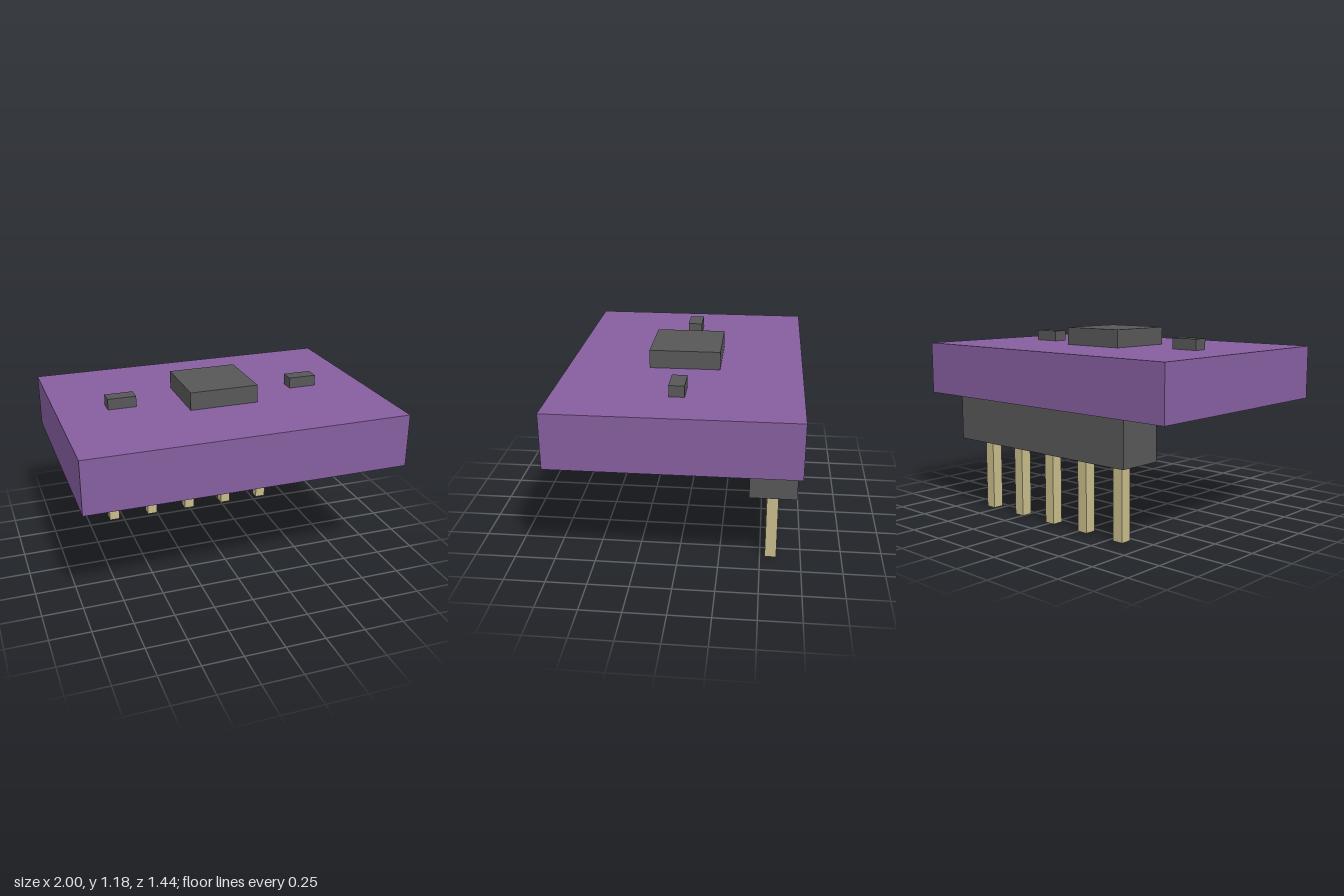
import * as THREE from 'three';

const material = (name, color) => {
  const m = new THREE.MeshStandardMaterial({ color });
  m.name = name;
  return m;
};

export function createModel() {
  const purple = material('purple board', 0x855e9f);
  const grey = material('dark grey plastic', 0x575757);
  const gold = material('pale gold metal', 0xc8bb8a);
  const model = new THREE.Group();
  model.name = 'sensorModule';

  // Box given by its size, its bottom height and its centre in x and z
  const box = (name, mat, [w, h, d], x, bottom, z) => {
    const mesh = new THREE.Mesh(new THREE.BoxGeometry(w, h, d), mat);
    mesh.name = name;
    mesh.position.set(x, bottom + h / 2, z);
    model.add(mesh);
  };

  // Circuit board with the main chip on top
  box('circuitBoard', purple, [2, 0.333, 1.44], 0, 0.74, 0);
  box('mainChip', grey, [0.434, 0.112, 0.434], 0, 1.073, 0);

  // Small components either side of the chip
  for (const side of [-1, 1]) {
    box(side > 0 ? 'leftComponent' : 'rightComponent', grey,
      [0.178, 0.068, 0.092], side * 0.6, 1.073, 0);
  }

  // Pin header under the back edge
  const headerZ = -0.566;
  box('headerBlock', grey, [1.41, 0.278, 0.282], 0, 0.462, headerZ);
  for (let i = -2; i <= 2; i++) {
    box(`headerPin${i + 3}`, gold, [0.07, 0.462, 0.07], i * 0.283, 0, headerZ);
  }

  return model;
}
